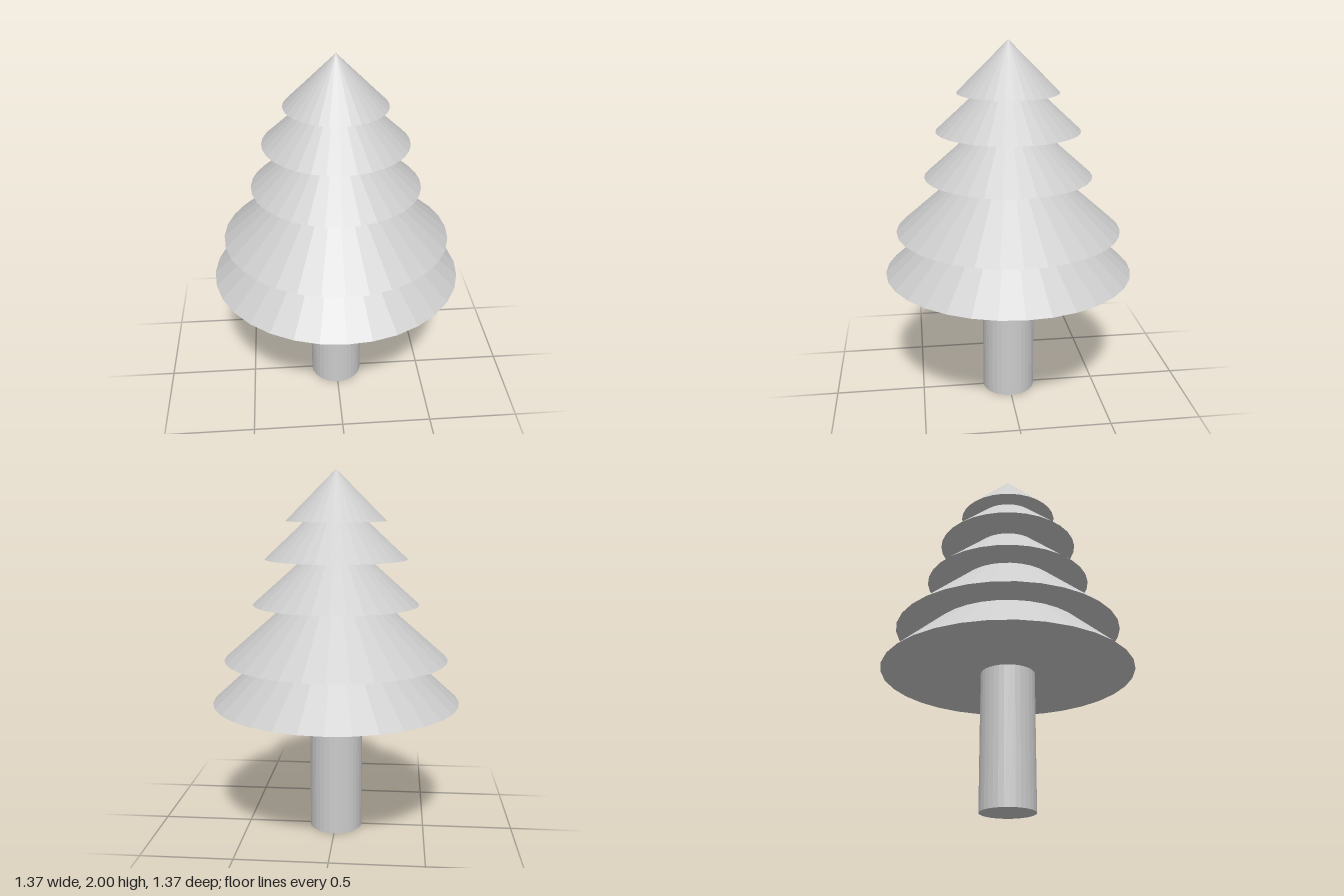
import * as THREE from 'three';

const SIDES = 32;

export function createModel() {
  const tree = new THREE.Group();
  tree.name = 'tree';
  const material = new THREE.MeshStandardMaterial({ color: 0xcccccc, flatShading: true });

  const add = (name, geometry, y) => {
    const mesh = new THREE.Mesh(geometry, material);
    mesh.name = name;
    mesh.position.y = y;
    tree.add(mesh);
  };

  // Trunk, ending just inside the lowest tier
  const trunkHeight = 0.76;
  add('trunk', new THREE.CylinderGeometry(0.147, 0.147, trunkHeight, SIDES), trunkHeight / 2);

  // Foliage tiers from bottom to top: base height, radius, apex height
  const tiers = [
    [0.742, 0.683, 1.36],
    [0.98, 0.615, 1.52],
    [1.282, 0.454, 1.685],
    [1.527, 0.387, 1.885],
    [1.729, 0.272, 2.0],
  ];
  tiers.forEach(([base, radius, apex], i) => {
    add(`foliageTier${i + 1}`, new THREE.ConeGeometry(radius, apex - base, SIDES), (base + apex) / 2);
  });

  return tree;
}
